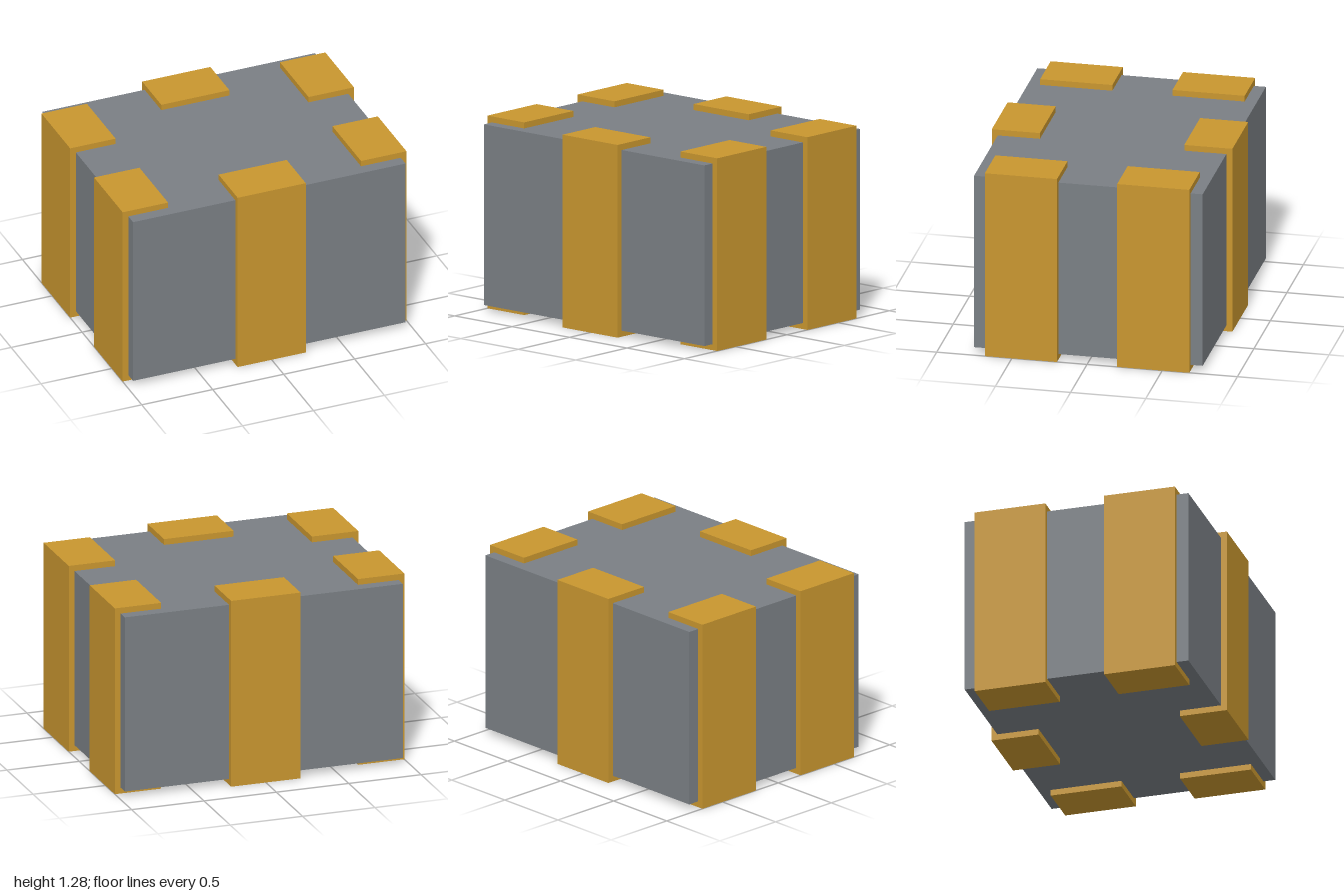
import * as THREE from 'three';

export function createModel() {
  const model = new THREE.Group();
  const grey = new THREE.MeshStandardMaterial({ color: 0x7a7f84 });
  const gold = new THREE.MeshStandardMaterial({ color: 0xc8962f });

  const addBox = (name, material, [w, h, d], [x, y, z]) => {
    const mesh = new THREE.Mesh(new THREE.BoxGeometry(w, h, d), material);
    mesh.name = name;
    mesh.position.set(x, y, z);
    model.add(mesh);
  };

  // Main crate block, raised slightly off the ground
  addBox('crateBody', grey, [1.92, 1.2, 1.52], [0, 0.64, 0]);

  // Full-height clamps gripping the edges of the block
  for (const front of [1, -1]) {
    const end = front > 0 ? 'front' : 'back';
    addBox(`${end}Clamp`, gold, [0.48, 1.28, 0.32], [0, 0.64, front * 0.64]);
    for (const side of [1, -1]) {
      const hand = side > 0 ? 'Left' : 'Right';
      addBox(`${end}${hand}Clamp`, gold, [0.32, 1.28, 0.48], [side * 0.84, 0.64, front * 0.44]);
    }
  }

  return model;
}
